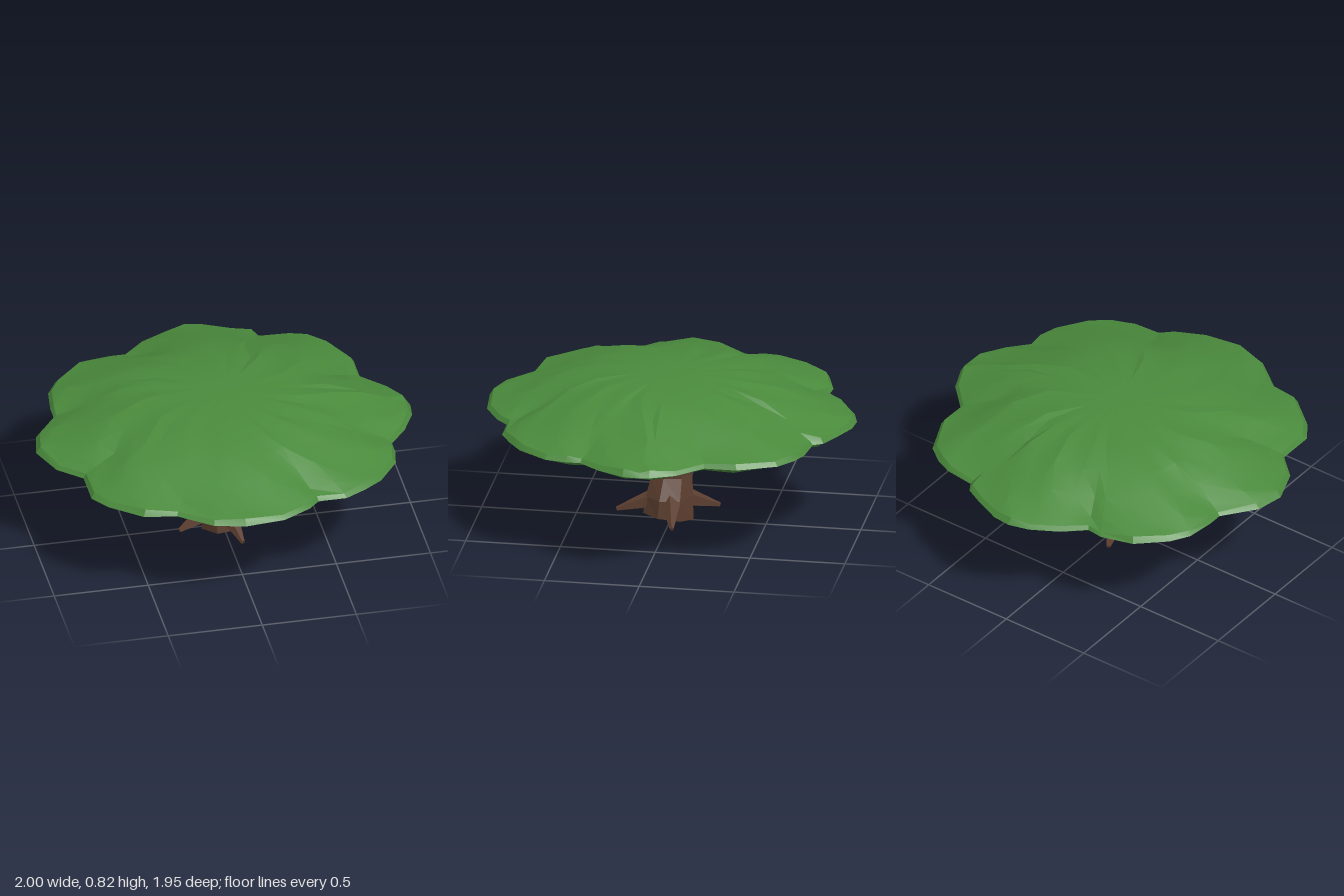
import * as THREE from 'three';
import { toCreasedNormals } from 'three/addons/utils/BufferGeometryUtils.js';

// Skin over closed rings listed from top to bottom; first and last rings may be single points repeated
function loft(rings, crease) {
  const n = rings[0].length, last = rings.length - 2, pos = [], idx = [];
  rings.forEach(ring => ring.forEach(p => pos.push(...p)));
  for (let i = 0; i <= last; i++) {
    for (let j = 0; j < n; j++) {
      const k = (j + 1) % n;
      const a = i * n + j, d = i * n + k, b = a + n, c = d + n;
      if (i > 0) idx.push(a, d, b);
      if (i < last) idx.push(b, d, c);
      else idx.push(a, d, c);
      if (i === 0) idx.splice(-3, 3, b, a, c);
    }
  }
  const geo = new THREE.BufferGeometry();
  geo.setAttribute('position', new THREE.Float32BufferAttribute(pos, 3));
  geo.setIndex(idx);
  return toCreasedNormals(geo, crease);
}

// Scalloped canopy outline as x, z pairs
const OUTLINE = [
  [1, 0], [0.99, 0.09], [0.92, 0.23], [0.83, 0.34], [0.83, 0.42], [0.81, 0.53], [0.7, 0.68],
  [0.6, 0.75], [0.49, 0.81], [0.34, 0.81], [0.28, 0.87], [0.13, 0.95], [-0.08, 0.97],
  [-0.24, 0.93], [-0.41, 0.8], [-0.58, 0.77], [-0.74, 0.64], [-0.81, 0.54], [-0.81, 0.34],
  [-0.93, 0.23], [-1, 0.05], [-0.97, -0.1], [-0.84, -0.27], [-0.84, -0.35], [-0.82, -0.5],
  [-0.76, -0.6], [-0.62, -0.73], [-0.45, -0.78], [-0.36, -0.77], [-0.25, -0.87],
  [-0.11, -0.95], [0, -0.98], [0.1, -0.97], [0.24, -0.91], [0.34, -0.86], [0.37, -0.81],
  [0.53, -0.79], [0.62, -0.75], [0.71, -0.68], [0.8, -0.48], [0.8, -0.31], [0.93, -0.18],
  [0.99, -0.05],
];

// Canopy profile: fraction of the radius, height, downward sag between lobes
const PROFILE = [
  [0, 0.825, 0], [0.2, 0.823, 0], [0.42, 0.803, 0], [0.6, 0.768, 0.04], [0.76, 0.715, 0.16],
  [0.9, 0.665, 0.14], [0.98, 0.635, 0.08], [1, 0.605, 0], [0.95, 0.582, 0],
  [0.78, 0.555, 0], [0.52, 0.53, 0], [0.2, 0.511, 0], [0, 0.51, 0],
];

function canopyGeometry() {
  const rings = PROFILE.map(([f, h, sag], i) => OUTLINE.map(([x, z], j) => {
    const r = Math.hypot(x, z);
    const s = f * THREE.MathUtils.lerp(0.93, r, f * f) / r;
    const bump = f > 0.3 && f < 0.99 ? 0.007 * Math.sin(j * 2.3 + i * 1.9) : 0;
    return [x * s, h + bump - sag * (1 - r), z * s];
  }));
  return loft(rings, 0.3);
}

// Seven-sided trunk, flaring at a slightly sloping foot
function trunkGeometry() {
  const levels = [ // y, centre x, centre z, radius x, radius z
    [0.56, -0.02, 0, 0, 0], [0.56, -0.02, 0, 0.08, 0.08], [0.25, -0.022, 0, 0.095, 0.11],
    [0.14, 0, 0.01, 0.125, 0.125], [0.025, 0.005, 0.015, 0.125, 0.135], [0.025, 0, 0.01, 0, 0],
  ];
  const rings = levels.map(([y, cx, cz, rx, rz]) => Array.from({ length: 7 }, (_, j) => {
    const a = (j + 0.3) / 7 * Math.PI * 2;
    const x = cx + rx * Math.cos(a), z = cz + rz * Math.sin(a);
    return [x, y < 0.1 ? Math.max(0, y + 0.12 * (x + z)) : y, z];
  }));
  return loft(rings, 0.4);
}

// Pointed root running from the trunk out to its tip
function makeRoot(x, z, y, material) {
  const start = new THREE.Vector3(x * 0.2, 0.125, z * 0.2);
  const dir = new THREE.Vector3(x, y, z).sub(start);
  const length = dir.length();
  const root = new THREE.Mesh(new THREE.CylinderGeometry(0.012, 0.062, length, 5), material);
  root.position.copy(start).addScaledVector(dir, 0.5);
  root.quaternion.setFromUnitVectors(new THREE.Vector3(0, 1, 0), dir.normalize());
  root.name = 'root';
  return root;
}

export function createModel() {
  const model = new THREE.Group();
  model.name = 'tree';
  const bark = new THREE.MeshStandardMaterial({ color: 0x5a3d2e, flatShading: true });
  const leaves = new THREE.MeshStandardMaterial({ color: 0x4a8a3c });

  const canopy = new THREE.Mesh(canopyGeometry(), leaves);
  canopy.name = 'canopy';
  const trunk = new THREE.Mesh(trunkGeometry(), bark);
  trunk.name = 'trunk';

  const roots = new THREE.Group();
  roots.name = 'roots';
  const tips = [[-0.25, 0.1, 0.06], [0.28, -0.05, 0.055], [0.05, 0.28, 0.06], [-0.1, -0.24, 0.06]];
  tips.forEach(([x, z, y]) => roots.add(makeRoot(x, z, y, bark)));

  model.add(canopy, trunk, roots);
  return model;
}
